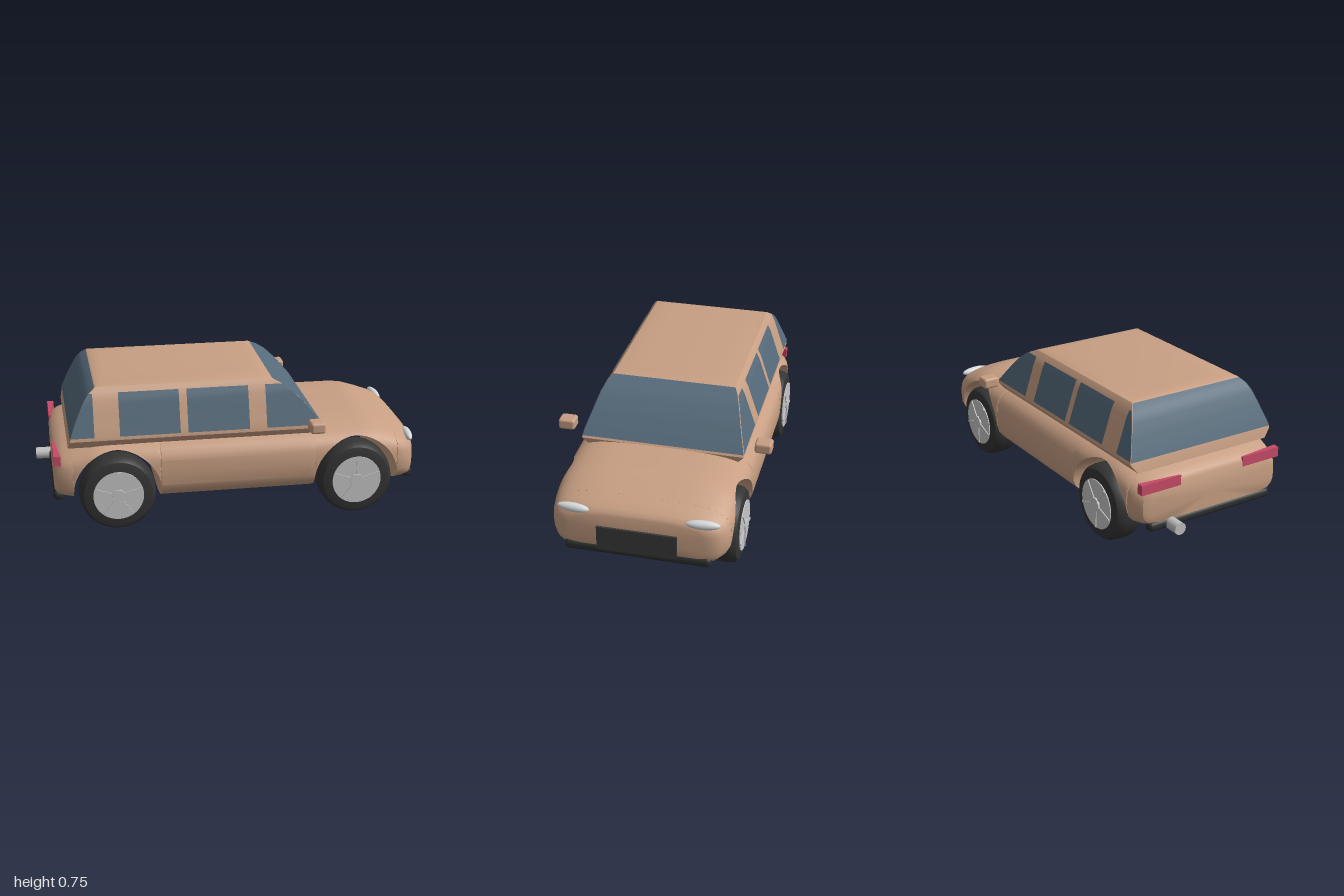
import * as THREE from 'three';
import { toCreasedNormals } from 'three/addons/utils/BufferGeometryUtils.js';
import { RoundedBoxGeometry } from 'three/addons/geometries/RoundedBoxGeometry.js';

const mat = (name, color, side = THREE.FrontSide) => {
  const m = new THREE.MeshStandardMaterial({ color, side });
  m.name = name;
  return m;
};

// Linear lookup in rows sorted by their first entry
function lookup(rows, t) {
  let i = 0;
  while (i < rows.length - 2 && t > rows[i + 1][0]) i++;
  const a = rows[i], b = rows[i + 1];
  const k = THREE.MathUtils.clamp((t - a[0]) / (b[0] - a[0]), 0, 1);
  return a.map((v, j) => v + (b[j] - v) * k);
}

// Skin through rings of points; closed rings get end caps
function loft(rings, closed) {
  const n = rings[0].length, pos = rings.flat(2), idx = [];
  for (let i = 0; i < rings.length - 1; i++) {
    for (let j = 0; j < (closed ? n : n - 1); j++) {
      const a = i * n + j, d = i * n + (j + 1) % n;
      idx.push(a, a + n, d, a + n, d + n, d);
    }
  }
  if (closed) {
    for (const i of [0, rings.length - 1]) {
      const c = pos.length / 3;
      pos.push(...[0, 1, 2].map(k => rings[i].reduce((s, p) => s + p[k] / n, 0)));
      for (let j = 0; j < n; j++) {
        const a = i * n + j, b = i * n + (j + 1) % n;
        idx.push(c, i ? b : a, i ? a : b);
      }
    }
  }
  const g = new THREE.BufferGeometry();
  g.setAttribute('position', new THREE.Float32BufferAttribute(pos, 3));
  g.setIndex(idx);
  g.computeVertexNormals();
  return closed ? toCreasedNormals(g, 0.6) : g;
}

// Lower body: x, half width, bottom, top
const BODY = [
  [-0.92, 0.37, 0.17, 0.385], [-0.908, 0.405, 0.155, 0.405], [-0.87, 0.432, 0.145, 0.425],
  [-0.8, 0.447, 0.13, 0.452], [-0.72, 0.458, 0.122, 0.48], [-0.66, 0.463, 0.12, 0.487],
  [-0.4, 0.472, 0.12, 0.487], [0.4, 0.472, 0.12, 0.487], [0.7, 0.467, 0.12, 0.487],
  [0.76, 0.464, 0.12, 0.482], [0.85, 0.457, 0.125, 0.453], [0.92, 0.445, 0.135, 0.427],
  [0.96, 0.42, 0.14, 0.408], [0.98, 0.38, 0.155, 0.39], [0.986, 0.34, 0.17, 0.375],
];
// Cabin: y, rear x, front x, half width
const CABIN = [
  [0.44, -0.845, 0.47, 0.39], [0.485, -0.835, 0.485, 0.427], [0.5, -0.83, 0.475, 0.425],
  [0.55, -0.81, 0.435, 0.408], [0.62, -0.78, 0.375, 0.385], [0.68, -0.75, 0.315, 0.365],
  [0.715, -0.725, 0.265, 0.348], [0.74, -0.69, 0.215, 0.325], [0.75, -0.66, 0.17, 0.28],
  [0.755, -0.63, 0.13, 0.2],
];
const AXLES = [-0.6, 0.655], ARCH_R = 0.225, ARCH_Y = 0.205;

// Superellipse section, cut off flat below the arch height
function bodyRing(x, arch = 0) {
  const [, w, lo, hi] = lookup(BODY, x), e = 3.5, N = 18;
  const c = (lo + hi) / 2, h = (hi - lo) / 2;
  const s = Math.max(-1, (arch - c) / h);
  const start = Math.asin(Math.sign(s) * Math.abs(s) ** (e / 2));
  const half = [];
  for (let k = 0; k <= N; k++) {
    const f = start + (Math.PI / 2 - start) * k / N, sn = Math.sin(f);
    half.push([x, c + h * Math.sign(sn) * Math.abs(sn) ** (2 / e), w * Math.max(0, Math.cos(f)) ** (2 / e)]);
  }
  return [...half, ...half.slice().reverse().map(([a, b, z]) => [a, b, -z])];
}

function bodyGeometry() {
  const stations = BODY.filter(r => AXLES.every(c => Math.abs(r[0] - c) > ARCH_R)).map(r => [r[0], 0]);
  for (const c of AXLES) {
    const arc = [[c - ARCH_R, 0]];
    for (let k = 0; k <= 24; k++) {
      const a = Math.PI * k / 24;
      arc.push([c - ARCH_R * Math.cos(a), ARCH_Y + ARCH_R * Math.sin(a)]);
    }
    arc.push([c + ARCH_R, 0]);
    const at = stations.findIndex(s => s[0] > c);
    stations.splice(at, 0, ...arc);
  }
  return loft(stations.map(([x, a]) => bodyRing(x, a)), true);
}

const levels = (lo, hi, n = 12) => Array.from({ length: n + 1 }, (_, i) => lo + (hi - lo) * i / n);

// Side pane between two x limits, clipped by the cabin outline
function sidePane(x0, x1, side) {
  return loft(levels(0.503, 0.715).map(y => {
    const [, r, f, w] = lookup(CABIN, y), z = side * (w + 0.004);
    const p = [[Math.min(x1, f + 0.004), y, z], [Math.max(x0, r - 0.004), y, z]];
    return side > 0 ? p : p.reverse();
  }), false);
}

// Windscreen (end = 1) or rear window (end = -1)
function endPane(end) {
  return loft(levels(0.497, 0.738).map(y => {
    const [, r, f, w] = lookup(CABIN, y), x = end > 0 ? f + 0.004 : r - 0.004;
    return [[x, y, -end * w], [x, y, end * w]];
  }), false);
}

export function createModel() {
  const car = new THREE.Group();
  car.name = 'car';
  const paint = mat('bodyPaint', 0xc89f83), glass = mat('windowGlass', 0x566b7b, THREE.DoubleSide);
  const rubber = mat('tyreRubber', 0x343434), trim = mat('darkTrim', 0x2c2e2e), grilleGrey = mat('grilleGrey', 0x3a3a3a);
  const alloy = mat('wheelAlloy', 0xc6c6c6), lamp = mat('headlightGlass', 0xd6d9da);
  const red = mat('tailLightRed', 0xc64a66), steel = mat('exhaustSteel', 0xbcbcbc);
  const add = (name, geo, material, x = 0, y = 0, z = 0, parent = car) => {
    const m = new THREE.Mesh(geo, material);
    m.name = name;
    m.position.set(x, y, z);
    parent.add(m);
    return m;
  };

  // Shell
  add('lowerBody', bodyGeometry(), paint);
  add('cabin', loft(CABIN.map(([y, r, f, w]) => [[f, y, -w], [f, y, w], [r, y, w], [r, y, -w]]), true), paint);

  // Glazing
  add('windscreen', endPane(1), glass);
  add('rearWindow', endPane(-1), glass);
  for (const s of [1, -1]) {
    for (const [a, b] of [[-1, -0.71], [-0.58, -0.27], [-0.23, 0.09], [0.18, 1]]) {
      add('sideWindow', sidePane(a, b, s), glass);
    }
  }

  // Wheels: the lathe axis is turned to point outward along z
  const tyreProfile = [[0, -0.077], [0.15, -0.077], [0.178, -0.07], [0.192, -0.052], [0.197, -0.025],
    [0.197, 0.025], [0.192, 0.052], [0.178, 0.07], [0.15, 0.077], [0, 0.077]];
  const tyreGeo = toCreasedNormals(new THREE.LatheGeometry(tyreProfile.map(p => new THREE.Vector2(...p)), 48), 0.6);
  for (const x of AXLES) {
    for (const s of [1, -1]) {
      const wheel = new THREE.Group();
      wheel.name = 'wheel';
      wheel.position.set(x, 0.197, s * 0.393);
      wheel.rotation.x = s * Math.PI / 2;
      add('tyre', tyreGeo, rubber, 0, 0, 0, wheel);
      add('rim', new THREE.CylinderGeometry(0.13, 0.13, 0.02, 40), alloy, 0, 0.072, 0, wheel);
      add('hub', new THREE.CylinderGeometry(0.035, 0.035, 0.03, 24), alloy, 0, 0.077, 0, wheel);
      for (let k = 0; k < 5; k++) {
        const a = k * Math.PI * 2 / 5 + 0.3;
        const spoke = add('spoke', new THREE.BoxGeometry(0.12, 0.006, 0.012), alloy,
          Math.cos(a) * 0.068, 0.084, -Math.sin(a) * 0.068, wheel);
        spoke.rotation.y = a;
      }
      car.add(wheel);
    }
  }

  // Bumpers, grille and exhaust
  add('frontBumper', new RoundedBoxGeometry(0.055, 0.054, 0.745, 4, 0.022), trim, 0.965, 0.174, 0);
  add('rearBumper', new RoundedBoxGeometry(0.055, 0.05, 0.745, 4, 0.022), trim, -0.9, 0.17, 0);
  add('grille', new THREE.BoxGeometry(0.04, 0.13, 0.405), grilleGrey, 0.978, 0.245, 0);
  add('exhaust', new THREE.CylinderGeometry(0.032, 0.032, 0.13, 24), steel, -0.935, 0.168, -0.246).rotation.z = Math.PI / 2;

  // Lamps and mirrors, mirrored across the centre line
  for (const s of [1, -1]) {
    const head = add('headlight', new THREE.SphereGeometry(1, 32, 20), lamp, 0.964, 0.384, s * 0.325);
    head.scale.set(0.023, 0.024, 0.086);
    head.rotation.y = -s * 0.08;
    const wedge = new THREE.Shape([[-0.921, 0.42], [-0.885, 0.42], [-0.91, 0.19], [-0.921, 0.19]]
      .map(([x, z]) => new THREE.Vector2(x, -s * z)));
    const tail = new THREE.ExtrudeGeometry(wedge, { depth: 0.052, bevelEnabled: false });
    add('tailLight', tail, red, 0, 0.358, 0).rotation.x = -Math.PI / 2;
    add('mirror', new RoundedBoxGeometry(0.078, 0.058, 0.088, 3, 0.014), paint, 0.42, 0.531, s * 0.519);
  }
  return car;
}
